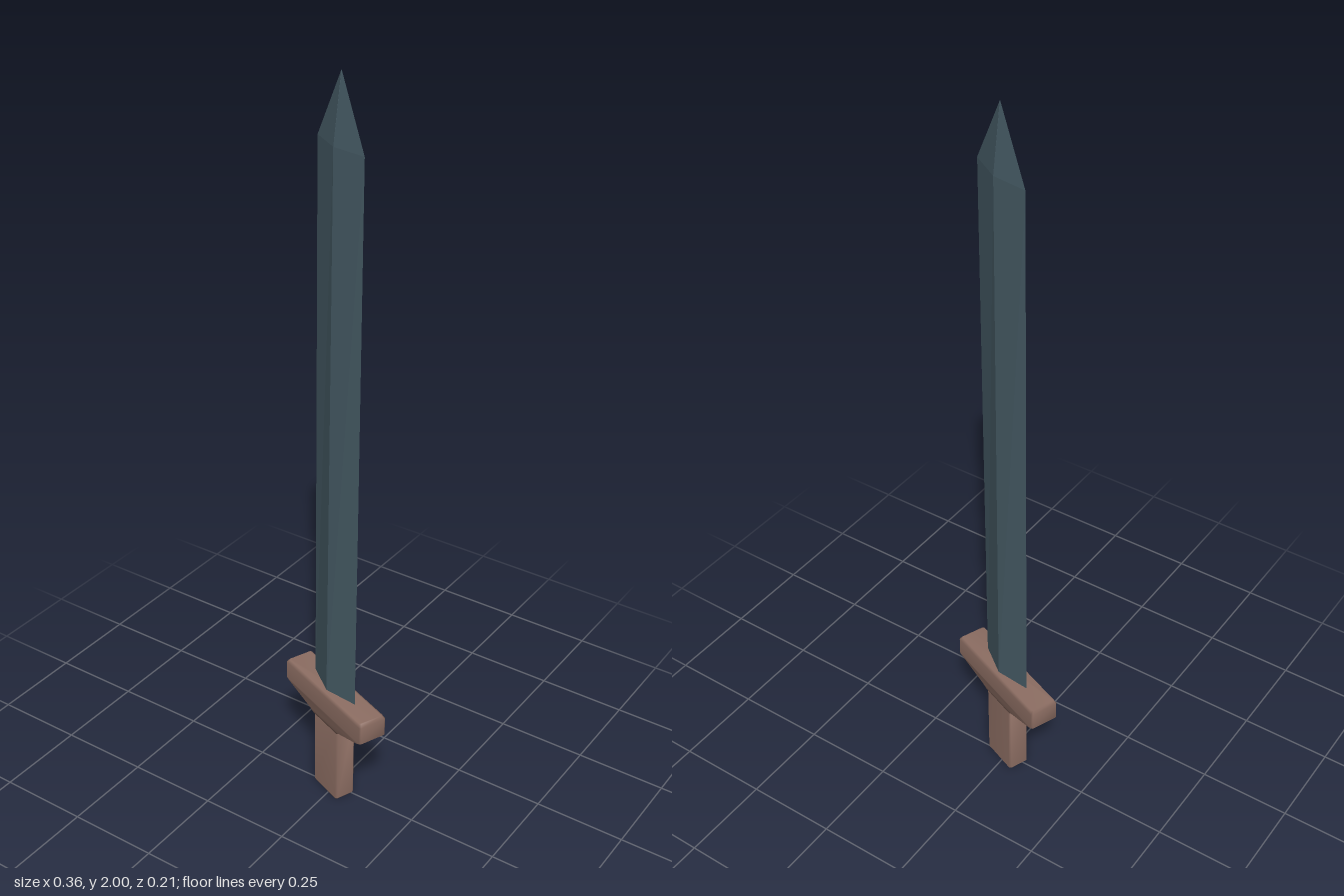
import * as THREE from 'three';

const steel = new THREE.MeshStandardMaterial({ color: 0x455a64 });
steel.name = 'blueGreySteel';
const leather = new THREE.MeshStandardMaterial({ color: 0x8d6e63 });
leather.name = 'brownHilt';

// Skins stacked cross-sections; each ring is { y, pts: [[x, z], ...] }, bottom to top
function loft(rings) {
  const n = rings[0].pts.length;
  const pos = [], idx = [];
  for (const { y, pts } of rings) for (const [x, z] of pts) pos.push(x, y, z);
  for (let i = 0; i < rings.length - 1; i++) {
    for (let j = 0; j < n; j++) {
      const a = i * n + j, b = i * n + ((j + 1) % n);
      idx.push(a, a + n, b, b, a + n, b + n);
    }
  }
  const top = (rings.length - 1) * n;
  for (let j = 1; j < n - 1; j++) idx.push(0, j, j + 1, top, top + j + 1, top + j);
  const g = new THREE.BufferGeometry();
  g.setAttribute('position', new THREE.Float32BufferAttribute(pos, 3));
  g.setIndex(idx);
  return g;
}

// Rectangle with chamfered corners (half sizes a, b, chamfer c)
function block(y, a, b, c) {
  return { y, pts: [
    [a, -b + c], [a, b - c], [a - c, b], [-a + c, b],
    [-a, b - c], [-a, -b + c], [-a + c, -b], [a - c, -b],
  ] };
}

// Diamond section with sharp left and right edges
const diamond = (y, a, b) => ({ y, pts: [[a, 0], [0, b], [-a, 0], [0, -b]] });

function part(name, geometry, material) {
  const mesh = new THREE.Mesh(geometry, material);
  mesh.name = name;
  return mesh;
}

export function createModel() {
  const model = new THREE.Group();
  model.name = 'sword';

  // Blade: four flat faces tapering to a point
  const blade = loft([
    diamond(0.32, 0.094, 0.027),
    diamond(1.83, 0.094, 0.02),
    diamond(2.0, 0.0005, 0.0005),
  ]).toNonIndexed();
  blade.computeVertexNormals();

  // Hilt: slim grip flaring into the crossguard, softly bevelled
  const guard = loft([
    block(0.232, 0.062, 0.032, 0.006),
    block(0.24, 0.075, 0.033, 0.006),
    block(0.272, 0.168, 0.039, 0.006),
    block(0.28, 0.178, 0.041, 0.004),
    block(0.331, 0.178, 0.041, 0.004),
    block(0.34, 0.171, 0.036, 0.004),
  ]);
  guard.computeVertexNormals();
  const grip = loft([
    block(0, 0.05, 0.026, 0.004),
    block(0.007, 0.055, 0.03, 0.005),
    block(0.25, 0.055, 0.03, 0.005),
  ]);
  grip.computeVertexNormals();

  const sword = new THREE.Group();
  sword.name = 'turnedSword';
  sword.add(part('blade', blade, steel), part('crossguard', guard, leather), part('grip', grip, leather));

  // Turned about the vertical with a very slight backward lean
  sword.rotation.set(-0.0105, -0.38, 0, 'YXZ');
  sword.position.set(-0.0015, 0, 0.0037);
  model.add(sword);
  return model;
}
